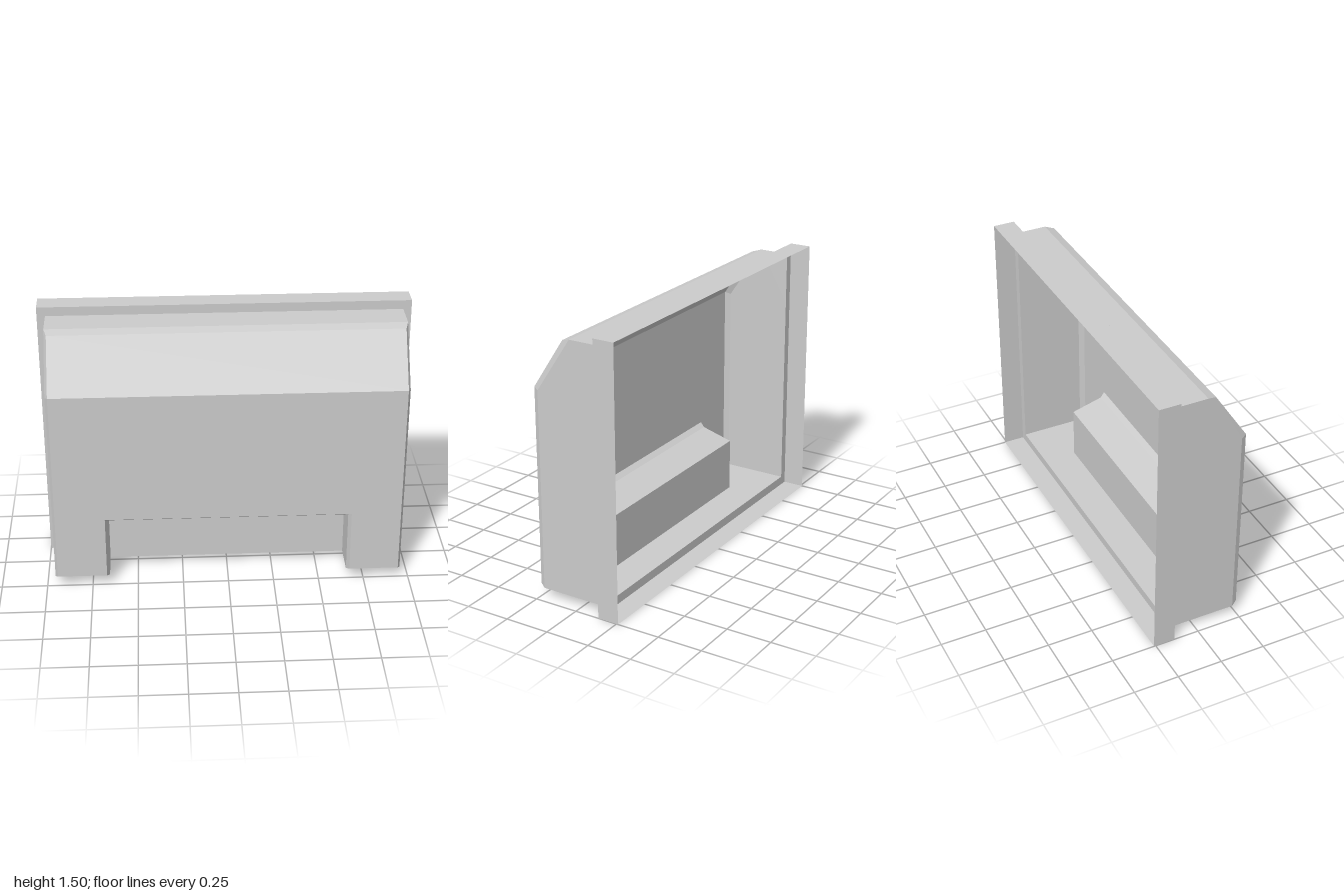
import * as THREE from 'three';

const material = new THREE.MeshStandardMaterial({ color: 0xcccccc, flatShading: true, side: THREE.DoubleSide });

// Mesh made of flat four-cornered panels, corners counter-clockwise from outside
function panels(name, quads) {
  const pos = [];
  for (const [a, b, c, d] of quads) pos.push(...a, ...b, ...c, ...a, ...c, ...d);
  const geo = new THREE.BufferGeometry();
  geo.setAttribute('position', new THREE.Float32BufferAttribute(pos, 3));
  geo.computeVertexNormals();
  const mesh = new THREE.Mesh(geo, material);
  mesh.name = name;
  return mesh;
}

// Panels joining two closed loops of equal length
const bridge = (front, back) => front.map((p, i) => {
  const j = (i + 1) % front.length;
  return [p, back[i], back[j], front[j]];
});

// Complete a loop from its right half by mirroring in x
const mirrored = half => [...half, ...half.map(([x, y, z]) => [-x, y, z]).reverse()];

const rect = (x, y0, y1, z) => mirrored([[x, y0, z], [x, y1, z]]);

export function createModel() {
  const group = new THREE.Group();

  // Each half loop: notch top, notch foot, outer foot, shoulder, crown
  const face = mirrored([[0.67, 0.42, 0.26], [0.67, 0.065, 0.26], [0.94, 0.065, 0.26], [0.94, 1.16, 0.26], [0.94, 1.435, 0.08]]);
  const bevel = mirrored([[0.655, 0.40, 0.23], [0.655, 0.05, 0.23], [0.955, 0.05, 0.23], [0.955, 1.15, 0.23], [0.955, 1.45, 0.03]]);
  const back = mirrored([[0.655, 0.35, 0.05], [0.655, 0.05, 0.05], [0.955, 0.05, -0.14], [0.955, 1.15, -0.14], [0.955, 1.45, -0.14]]);

  // Flat front with the notch cut out
  const outline = face.filter((p, i) => i !== 4 && i !== 5).map(([x, y]) => new THREE.Vector2(x, y));
  const front = new THREE.Mesh(new THREE.ShapeGeometry(new THREE.Shape(outline)), material);
  front.position.z = 0.26;
  front.name = 'frontPanel';
  group.add(front);

  group.add(panels('slopedPanel', [[face[3], face[4], face[5], face[6]]]));
  group.add(panels('bevelledEdges', bridge(face, bevel)));
  group.add(panels('shellWalls', bridge(bevel, back)));
  group.add(panels('notchBack', [[back[0], back[9], back[8], back[1]]]));
  group.add(panels('floor', [[back[1], back[8], back[7], back[2]]]));

  // Open rim around the back of the shell
  const rimFront = rect(1, 0, 1.5, -0.14);
  group.add(panels('rimLedge', bridge(rect(0.955, 0.05, 1.45, -0.14), rimFront)));
  group.add(panels('rimWalls', bridge(rimFront, rect(1, 0, 1.5, -0.26))));

  return group;
}
